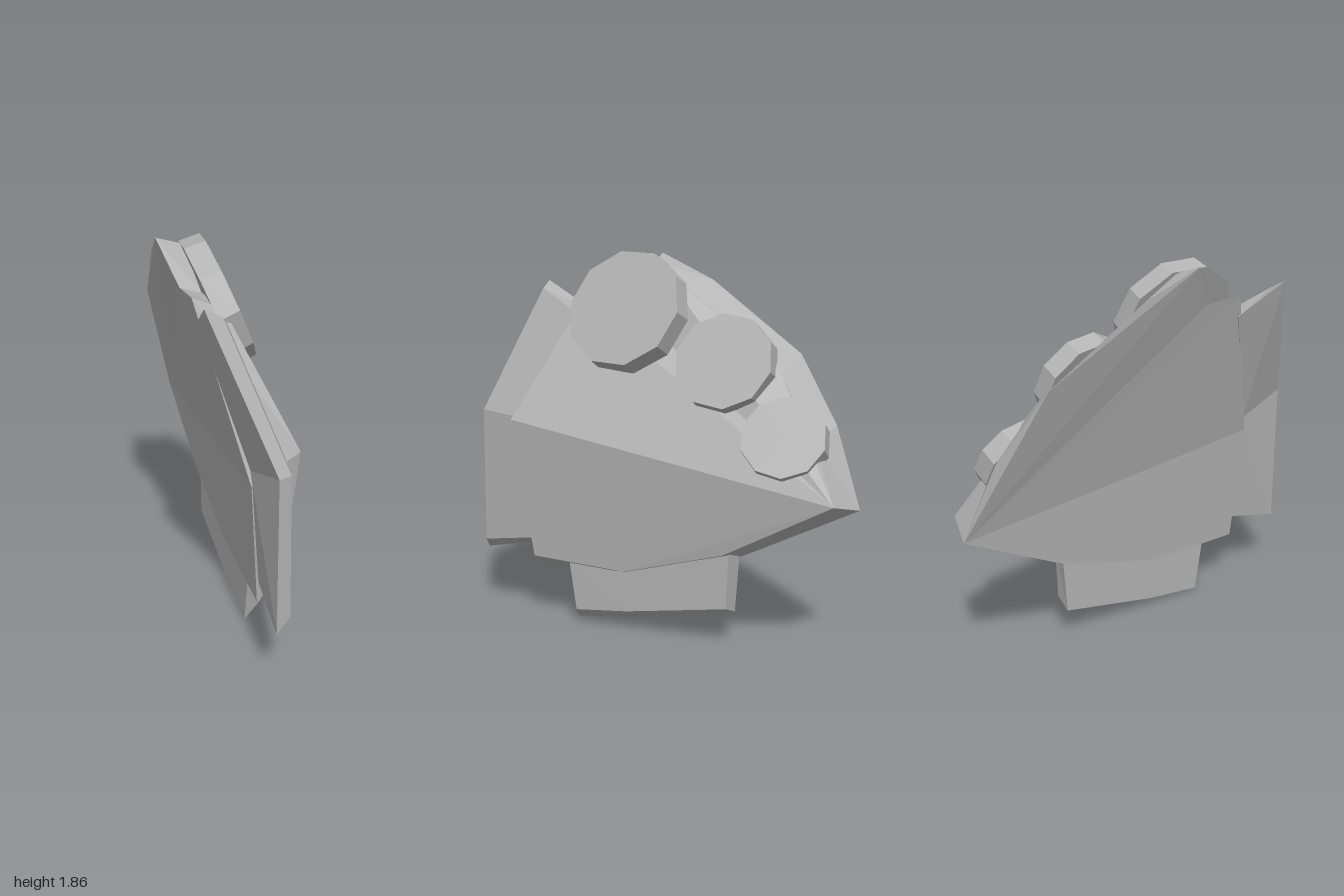
import * as THREE from 'three';

const grey = new THREE.MeshStandardMaterial({ color: 0xb2b2b2 });
grey.name = 'plainGrey';

// Bevelled plate between an outer (+x) and an inner (-x) loop of [x, y, z];
// each face lists the corner numbers of one cap polygon.
function plate(name, outer, inner, faces) {
  const pos = [];
  const tri = (a, b, c) => pos.push(...a, ...b, ...c);
  const cap = (loop, face, sign) => {
    const pts = face.map((i) => loop[i]);
    const flat = pts.map((p) => new THREE.Vector2(-p[2], p[1]));
    for (const [i, j, k] of THREE.ShapeUtils.triangulateShape(flat, [])) {
      const area = flat[j].clone().sub(flat[i]).cross(flat[k].clone().sub(flat[i]));
      if (area * sign > 0) tri(pts[i], pts[j], pts[k]);
      else tri(pts[i], pts[k], pts[j]);
    }
  };
  for (const face of faces) {
    cap(outer, face, 1);
    cap(inner, face, -1);
  }
  outer.forEach((a, i) => {
    const n = (i + 1) % outer.length;
    tri(a, outer[n], inner[n]);
    tri(a, inner[n], inner[i]);
  });
  const geo = new THREE.BufferGeometry();
  geo.setAttribute('position', new THREE.Float32BufferAttribute(pos, 3));
  geo.computeVertexNormals();
  const mesh = new THREE.Mesh(geo, grey);
  mesh.name = name;
  return mesh;
}

// Ten-sided disc; centre is the middle of its outer face
function disc(name, centre, normal, rTilt, rZ, depth) {
  const geo = new THREE.CylinderGeometry(1, 1.03, depth, 10).toNonIndexed();
  geo.rotateY(-0.14);
  geo.scale(rTilt, 1, rZ);
  geo.translate(0, -depth / 2, 0);
  geo.computeVertexNormals();
  const mesh = new THREE.Mesh(geo, grey);
  mesh.name = name;
  mesh.position.set(...centre);
  mesh.quaternion.setFromUnitVectors(
    new THREE.Vector3(0, 1, 0), new THREE.Vector3(...normal).normalize());
  return mesh;
}

export function createModel() {
  const group = new THREE.Group();
  group.name = 'shoulderPlate';

  // Main plate, creased between its front corner and its rear tip
  group.add(plate('mainPlate',
    [[0.2, 0.33, 0.63], [0.235, 1.03, 0.73], [-0.04, 1.61, 0.46], [-0.08, 1.62, 0.24],
      [-0.13, 1.81, 0.1], [-0.09, 1.6, -0.2], [0, 1.3, -0.6], [0.09, 1.0, -0.8],
      [0.24, 0.75, -0.93], [0.21, 0.46, -0.4], [0.2, 0.31, 0.12]],
    [[0.07, 0.26, 0.68], [0.02, 0.88, 0.72], [-0.18, 1.67, 0.46], [-0.18, 1.65, 0.24],
      [-0.26, 1.85, 0.12], [-0.22, 1.72, -0.17], [-0.15, 1.38, -0.65], [-0.04, 1.07, -0.86],
      [0.04, 0.7, -1.0], [0.06, 0.42, -0.44], [0.07, 0.27, 0.12]],
    [[1, 2, 3, 4, 5, 6, 7, 8], [0, 1, 8, 9, 10]]));

  // Narrow plate tucked under the front edge
  group.add(plate('frontPlate',
    [[0.19, 0.42, 0.65], [0.13, 0.36, 0.97], [0.11, 1.05, 0.975],
      [-0.12, 1.67, 0.74], [-0.03, 1.55, 0.49], [0.16, 1.03, 0.71]],
    [[0.075, 0.37, 0.67], [0.06, 0.3, 1.0], [0.05, 1.05, 1.0],
      [-0.2, 1.71, 0.75], [-0.16, 1.56, 0.47], [0.02, 0.95, 0.7]],
    [[0, 1, 2, 5], [2, 3, 4, 5]]));

  // Tab below the main plate
  group.add(plate('lowerTab',
    [[0.18, 0.46, -0.42], [0.18, 0.19, -0.41], [0.18, 0.1, 0.12], [0.18, 0.07, 0.4], [0.18, 0.34, 0.44]],
    [[0.085, 0.44, -0.44], [0.085, 0.15, -0.42], [0.085, 0.04, 0.12], [0.085, 0, 0.44], [0.085, 0.3, 0.49]],
    [[0, 1, 2, 3, 4]]));

  // Three discs shrinking towards the rear
  group.add(disc('largeDisc', [0.055, 1.59, 0.19], [0.917, 0.398, 0.07], 0.3, 0.305, 0.1));
  group.add(disc('middleDisc', [0.075, 1.355, -0.34], [0.915, 0.4, -0.05], 0.235, 0.24, 0.1));
  group.add(disc('smallDisc', [0.155, 1.03, -0.665], [0.87, 0.48, -0.1], 0.195, 0.2, 0.1));

  return group;
}
